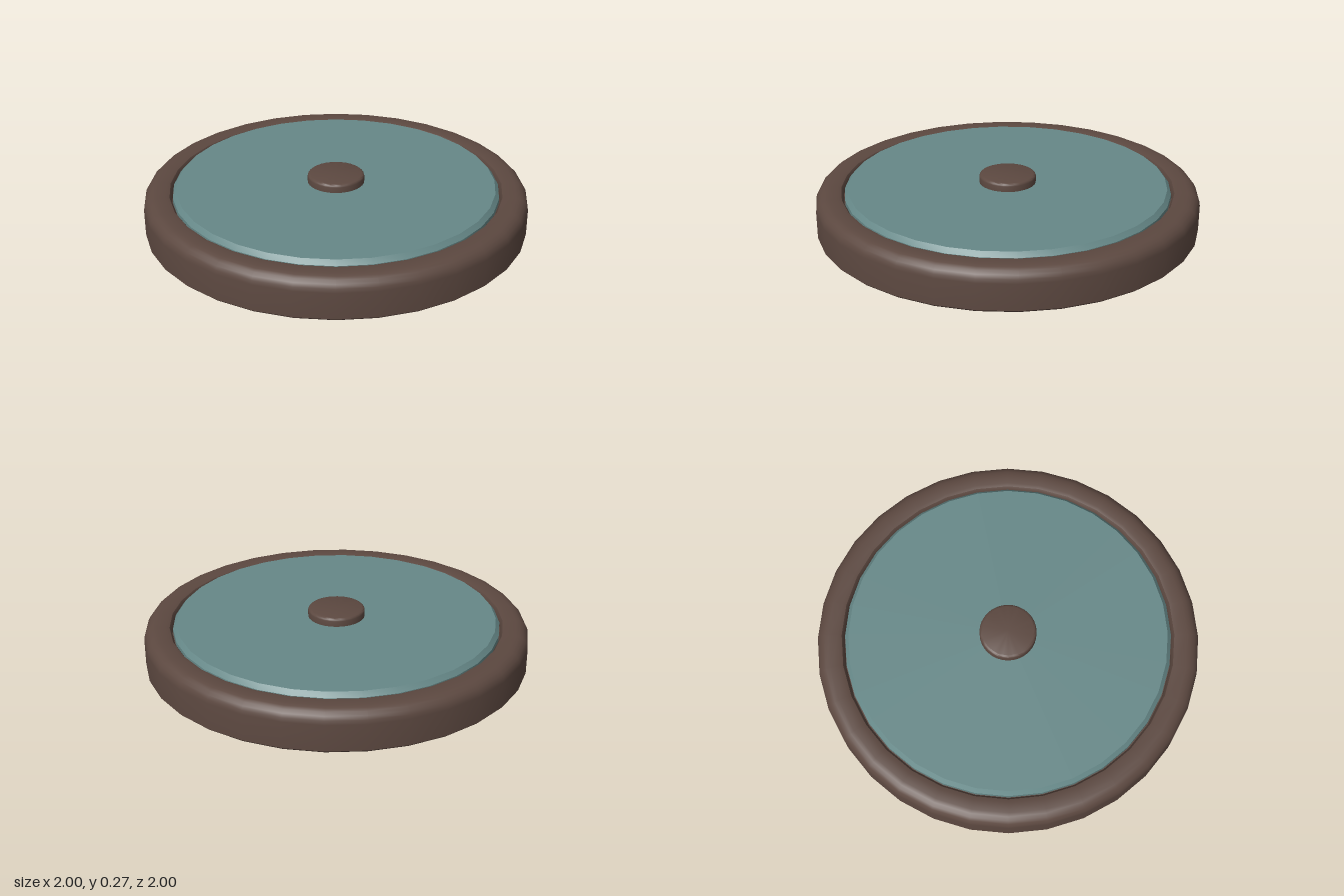
import * as THREE from 'three';
import { toCreasedNormals } from 'three/addons/utils/BufferGeometryUtils.js';

const SIDES = 32;

// Turned part from [radius, height] pairs, listed from the bottom upwards
function turned(name, profile, color) {
  const points = profile.map(([r, y]) => new THREE.Vector2(r, y));
  const geometry = toCreasedNormals(new THREE.LatheGeometry(points, SIDES), 0.6);
  const mesh = new THREE.Mesh(geometry, new THREE.MeshStandardMaterial({ color }));
  mesh.name = name;
  return mesh;
}

// Quarter-round edge running from the side up on to the top
function roundEdge(radius, top, size, steps) {
  return Array.from({ length: steps + 1 }, (_, i) => {
    const a = (i / steps) * Math.PI / 2;
    return [radius - size * (1 - Math.cos(a)), top - size * (1 - Math.sin(a))];
  });
}

export function createModel() {
  const group = new THREE.Group();
  group.name = 'roundPad';
  const brown = 0x5c4840;
  const teal = 0x668888;

  // Rim and closed base, with a shallow recess for the disc
  group.add(turned('rim', [
    [0, 0], [0.99, 0], [1, 0.01],
    ...roundEdge(1, 0.212, 0.065, 5),
    [0.885, 0.212], [0.867, 0.207], [0.857, 0.192], [0.855, 0.17], [0, 0.17],
  ], brown));

  // Inset disc with a bevelled edge
  group.add(turned('disc', [
    [0.85, 0.17], [0.85, 0.2], [0.83, 0.224], [0, 0.224],
  ], teal));

  // Raised centre button
  group.add(turned('button', [
    [0.148, 0.22], ...roundEdge(0.148, 0.268, 0.014, 3), [0, 0.268],
  ], brown));

  return group;
}
